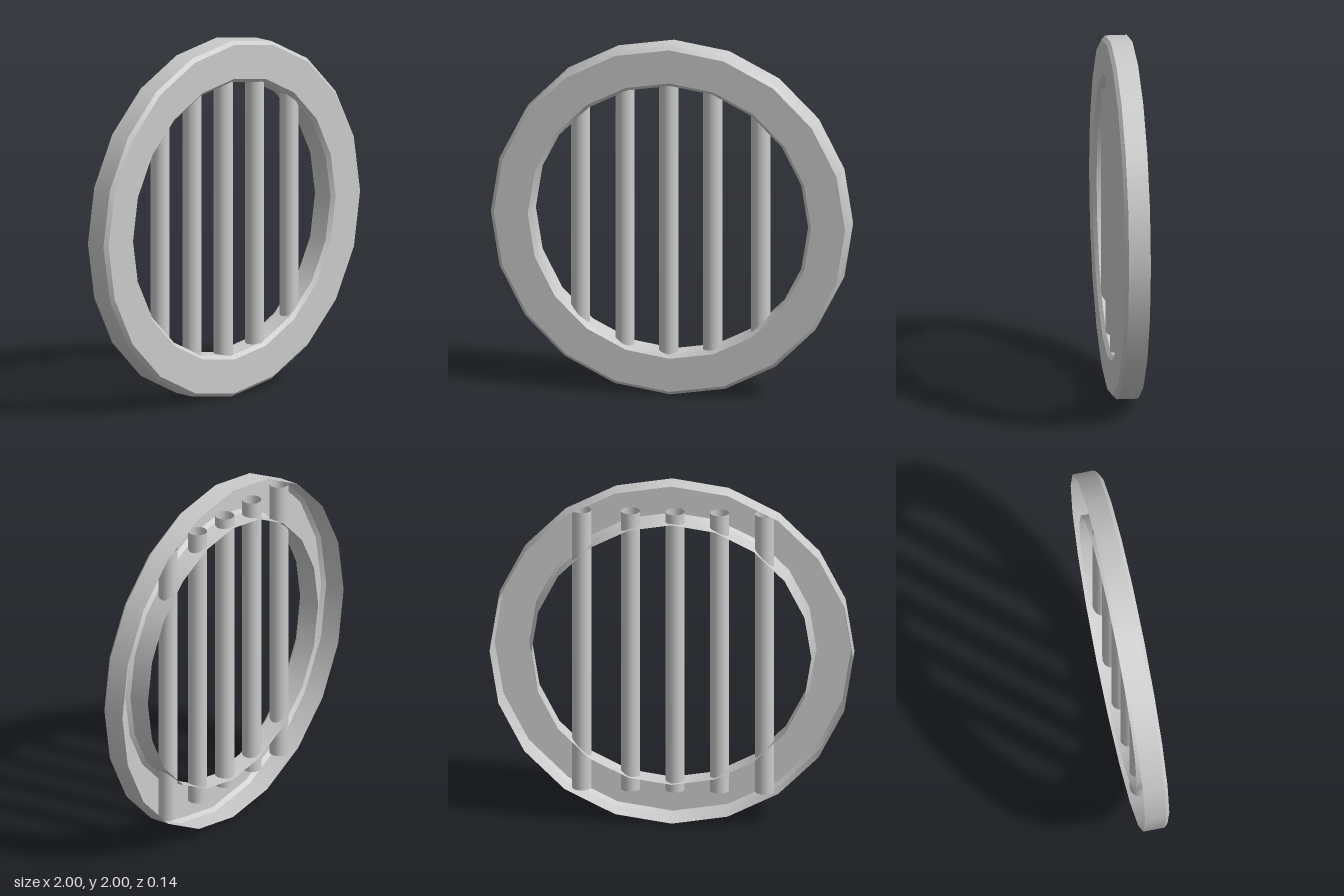
import * as THREE from 'three';
import { mergeGeometries } from 'three/addons/utils/BufferGeometryUtils.js';

const material = new THREE.MeshStandardMaterial({ color: 0xcccccc, side: THREE.DoubleSide });

// Ring shell, open at the back; one lathe band per profile edge keeps the creases sharp
function createFrame() {
  const profile = [
    [1, -0.07], [1, 0.05], [0.98, 0.07], [0.79, 0.07], [0.77, 0.05], [0.77, -0.07],
  ].map(([r, z]) => new THREE.Vector2(r, z));
  const bands = [];
  for (let i = 0; i < profile.length - 1; i++) {
    bands.push(new THREE.LatheGeometry([profile[i], profile[i + 1]], 20));
  }
  const frame = new THREE.Mesh(mergeGeometries(bands).rotateX(Math.PI / 2), material);
  frame.name = 'ringFrame';
  frame.position.y = 1;
  return frame;
}

// Upright tubes with open ends that run into the hollow ring
function createBars() {
  const bars = new THREE.Group();
  bars.name = 'bars';
  const tube = new THREE.CylinderGeometry(0.053, 0.053, 1.645, 20, 1, true);
  [-0.508, -0.261, -0.016, 0.229, 0.497].forEach((x, i) => {
    const bar = new THREE.Mesh(tube, material);
    bar.name = `bar${i + 1}`;
    bar.position.set(x, 1, 0);
    bars.add(bar);
  });
  return bars;
}

export function createModel() {
  const model = new THREE.Group();
  model.name = 'barredRoundWindow';
  model.add(createFrame(), createBars());
  return model;
}
